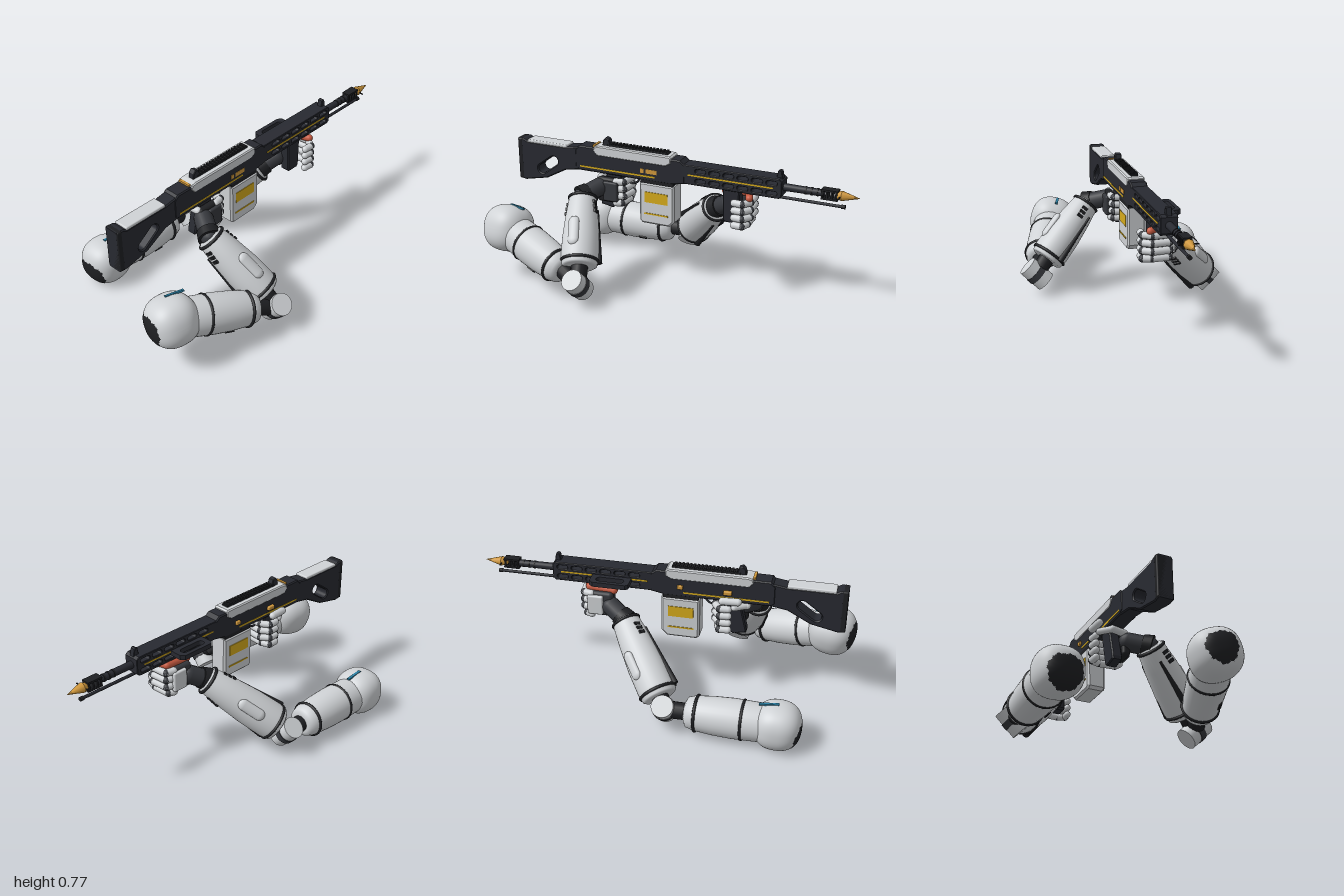
import * as THREE from 'three';
import { RoundedBoxGeometry } from 'three/addons/geometries/RoundedBoxGeometry.js';

const V = (x, y, z) => new THREE.Vector3(x, y, z);
const paint = (name, color) => new THREE.MeshStandardMaterial({ name, color });

export function createModel() {
  const light = paint('light armour', 0xd0d3d6), dark = paint('gunmetal', 0x282a31);
  const black = paint('black joint', 0x1f2023), grey = paint('grey joint', 0x36383d);
  const gold = paint('gold', 0xd0983c), yellow = paint('yellow', 0xd6ab1c);
  const red = paint('red', 0xc85a40), blue = paint('blue', 0x2a7fa3);

  const model = new THREE.Group();
  const add = (parent, name, geo, mat, x = 0, y = 0, z = 0) => {
    const m = new THREE.Mesh(geo, mat);
    m.name = name;
    m.position.set(x, y, z);
    parent.add(m);
    return m;
  };
  const box = (p, name, mat, w, h, d, x, y, z) => add(p, name, new THREE.BoxGeometry(w, h, d), mat, x, y, z);
  const round = (p, name, mat, w, h, d, x, y, z, r) =>
    add(p, name, new RoundedBoxGeometry(w, h, d, 3, r), mat, x, y, z);
  const barrel = (p, name, mat, r0, r1, z0, z1, y, n = 20) =>
    add(p, name, new THREE.CylinderGeometry(r1, r0, z0 - z1, n).rotateX(-Math.PI / 2), mat, 0, y, (z0 + z1) / 2);

  // Side outline in (z, y), extruded across x with a small bevel
  const stadium = (z0, y0, z1, y1, r) => {
    const a = Math.atan2(y1 - y0, z1 - z0), h = new THREE.Path();
    h.absarc(z1, y1, r, a - Math.PI / 2, a + Math.PI / 2);
    h.absarc(z0, y0, r, a + Math.PI / 2, a + Math.PI * 1.5);
    h.closePath();
    return h;
  };
  const slab = (p, name, mat, pts, width, holes = [], b = 0.006) => {
    const s = new THREE.Shape(pts.map(q => new THREE.Vector2(...q)));
    s.holes.push(...holes);
    const g = new THREE.ExtrudeGeometry(s, { depth: width - 2 * b, bevelSize: b, bevelOffset: -b,
      bevelThickness: b, bevelSegments: 1, curveSegments: 8 });
    return add(p, name, g.translate(0, 0, -(width - 2 * b) / 2).rotateY(-Math.PI / 2), mat);
  };

  // ---------- Rifle ----------
  const rifle = new THREE.Group();
  rifle.name = 'rifle';
  rifle.position.x = -0.015;
  model.add(rifle);
  slab(rifle, 'stock', dark, [[0.55, 0.575], [0.64, 0.56], [0.76, 0.495], [0.9, 0.465], [0.94, 0.47], [0.94, 0.705],
    [0.9, 0.705], [0.88, 0.693], [0.63, 0.693], [0.55, 0.705]], 0.085, [stadium(0.79, 0.545, 0.715, 0.6, 0.026)]);
  round(rifle, 'cheekRest', light, 0.08, 0.025, 0.25, 0, 0.692, 0.755, 0.006);
  round(rifle, 'buttPad', black, 0.088, 0.235, 0.03, 0, 0.588, 0.925, 0.008);
  slab(rifle, 'receiver', dark, [[-0.08, 0.59], [0, 0.575], [0.55, 0.575], [0.575, 0.59], [0.575, 0.69],
    [0.55, 0.715], [-0.05, 0.715], [-0.08, 0.69]], 0.09);
  slab(rifle, 'topCover', light, [[0, 0.69], [0.03, 0.672], [0.44, 0.672], [0.465, 0.7], [0.455, 0.722],
    [0.43, 0.728], [0.01, 0.728], [0, 0.72]], 0.096);
  box(rifle, 'coverTrim', gold, 0.07, 0.01, 0.014, 0, 0.722, 0.462);
  box(rifle, 'topRail', black, 0.04, 0.012, 0.36, 0, 0.731, 0.21);
  for (let i = 0; i < 17; i++) box(rifle, 'railTooth', black, 0.042, 0.009, 0.011, 0, 0.739, 0.045 + i * 0.02);
  slab(rifle, 'rearSight', dark, [[0.365, 0.72], [0.42, 0.72], [0.415, 0.755], [0.4, 0.772], [0.38, 0.765]], 0.036, [], 0.004);
  for (const s of [-1, 1]) {
    box(rifle, 'receiverStripe', yellow, 0.006, 0.009, 0.45, s * 0.0435, 0.6, 0.32);
    box(rifle, 'handguardStripe', yellow, 0.006, 0.008, 0.47, s * 0.0425, 0.645, -0.33);
  }
  box(rifle, 'ejectionPort', gold, 0.006, 0.024, 0.065, 0.0435, 0.628, 0.115);
  box(rifle, 'portLatch', gold, 0.006, 0.024, 0.02, 0.0435, 0.628, 0.17);
  round(rifle, 'selectorKnob', gold, 0.026, 0.024, 0.045, -0.048, 0.63, 0.33, 0.006);
  round(rifle, 'coverPin', gold, 0.02, 0.022, 0.03, -0.048, 0.632, 0.08, 0.005);

  // Handguard with two rows of through slots
  const slots = [];
  for (let i = 0; i < 6; i++) for (const y of [0.617, 0.671])
    slots.push(stadium(-0.185 - i * 0.078, y, -0.147 - i * 0.078, y, 0.01));
  slab(rifle, 'handguard', dark, [[-0.61, 0.605], [-0.595, 0.592], [-0.07, 0.592], [-0.07, 0.697],
    [-0.595, 0.697], [-0.61, 0.685]], 0.088, slots, 0.003);
  slab(rifle, 'frontSight', dark, [[-0.605, 0.69], [-0.57, 0.69], [-0.578, 0.73], [-0.59, 0.735], [-0.598, 0.73]], 0.03, [], 0.003);
  barrel(rifle, 'barrel', dark, 0.02, 0.018, -0.6, -0.82, 0.645);
  for (let i = 0; i < 4; i++) barrel(rifle, 'barrelRing', black, 0.021, 0.021, -0.72 - i * 0.03, -0.73 - i * 0.03, 0.645);
  for (let i = 0; i < 4; i++) box(rifle, 'brakeRib', black, 0.046, 0.05, 0.009, 0, 0.645, -0.813 - i * 0.024);
  for (const s of [-1, 1]) box(rifle, 'brakeBar', black, 0.046, 0.009, 0.085, 0, 0.645 + s * 0.022, -0.85);
  barrel(rifle, 'muzzleSpike', gold, 0.027, 0.001, -0.91, -1, 0.645, 8);
  barrel(rifle, 'spikeCollar', gold, 0.016, 0.027, -0.88, -0.91, 0.645, 8);
  box(rifle, 'muzzleCrossPin', black, 0.1, 0.005, 0.005, 0, 0.645, -0.905);
  barrel(rifle, 'lowerRod', dark, 0.008, 0.008, -0.48, -0.92, 0.588, 10);
  barrel(rifle, 'rodTip', black, 0.011, 0.011, -0.91, -0.93, 0.588, 10);

  // Looped side handle
  const loop = new THREE.Shape([[-0.13, 0.195], [-0.118, 0.18], [-0.04, 0.18], [-0.04, 0.39], [-0.112, 0.39], [-0.13, 0.37]]
    .map(q => new THREE.Vector2(...q)));
  loop.holes.push(stadium(-0.088, 0.23, -0.088, 0.34, 0.02));
  add(rifle, 'sideHandle', new THREE.ExtrudeGeometry(loop, { depth: 0.026, bevelEnabled: false })
    .rotateX(-Math.PI / 2), dark, 0, 0.625, 0);

  // Magazine, grips and trigger
  slab(rifle, 'magazine', light, [[0.185, 0.565], [0.185, 0.345], [0.17, 0.33], [0.01, 0.33], [-0.02, 0.36], [-0.02, 0.565]], 0.1, [], 0.01);
  box(rifle, 'magazineSeam', black, 0.088, 0.03, 0.19, 0, 0.567, 0.083);
  for (const s of [-1, 1]) {
    box(rifle, 'magazineLabel', yellow, 0.006, 0.06, 0.135, s * 0.05, 0.485, 0.085);
    box(rifle, 'magazineLine', yellow, 0.006, 0.008, 0.14, s * 0.05, 0.39, 0.085);
  }
  slab(rifle, 'pistolGrip', dark, [[0.3, 0.58], [0.34, 0.39], [0.36, 0.378], [0.43, 0.39], [0.43, 0.41], [0.39, 0.58]], 0.055);
  slab(rifle, 'foregrip', dark, [[-0.38, 0.6], [-0.375, 0.42], [-0.36, 0.408], [-0.3, 0.408], [-0.29, 0.42], [-0.285, 0.6]], 0.055);
  const guard = add(rifle, 'triggerGuard', new THREE.TorusGeometry(0.045, 0.006, 6, 16, Math.PI), dark, 0, 0.575, 0.25);
  guard.rotation.set(0, Math.PI / 2, Math.PI);
  box(rifle, 'trigger', gold, 0.012, 0.04, 0.01, 0, 0.56, 0.26);

  // ---------- Arms ----------
  // Group whose y axis runs from a to b and whose z axis leans towards hint
  const along = (parent, name, a, b, hint = V(0, 1, 0.01)) => {
    const g = new THREE.Group(), y = b.clone().sub(a).normalize();
    const x = y.clone().cross(hint).normalize(), z = x.clone().cross(y);
    g.quaternion.setFromRotationMatrix(new THREE.Matrix4().makeBasis(x, y, z));
    g.position.copy(a);
    g.name = name;
    parent.add(g);
    return g;
  };
  const shell = (p, name, mat, pts) => add(p, name, new THREE.LatheGeometry(pts.map(q => new THREE.Vector2(...q)), 32), mat);
  const ring = (p, r, y) => add(p, 'armBand', new THREE.TorusGeometry(r, 0.008, 8, 32).rotateX(Math.PI / 2), black, 0, y, 0);
  const capsule = (p, name, mat, a, b, r) => {
    const l = a.distanceTo(b), g = along(p, name, a, b, V(0.3, 0.5, 0.81));
    add(g, name, new THREE.CapsuleGeometry(r, l, 6, 14), mat, 0, l / 2, 0);
  };

  // Slightly squared ball; open > 0 makes a ragged cap around +y, tipped by tilt
  const squareBall = (r, open = 0, tilt = 0) => {
    const g = new THREE.SphereGeometry(1, 64, 32), p = g.attributes.position, v = V(0, 0, 0);
    for (let i = 0; i < p.count; i++) {
      v.fromBufferAttribute(p, i);
      if (open) {
        const f = Math.atan2(v.z, v.x), t = Math.acos(THREE.MathUtils.clamp(v.y, -1, 1)) / Math.PI *
          open * (1 + 0.05 * Math.sin(3 * f) + 0.04 * Math.sin(8 * f) + 0.04 * Math.sin(19 * f + 1));
        v.set(Math.sin(t) * Math.cos(f), Math.cos(t), Math.sin(t) * Math.sin(f)).applyAxisAngle(V(1, 0, 0), tilt);
      }
      const n = Math.pow(Math.abs(v.x) ** 2.4 + Math.abs(v.y) ** 2.4 + Math.abs(v.z) ** 2.4, 1 / 2.4);
      v.multiplyScalar(r / n);
      p.setXYZ(i, v.x, v.y, v.z);
    }
    g.computeVertexNormals();
    return g;
  };

  const arm = (name, o) => {
    const g = new THREE.Group();
    g.name = name;
    model.add(g);
    // Shoulder with ragged dark end and blue line
    const sh = along(g, 'shoulder', o.shoulder, o.shoulder.clone().add(o.capDir), o.lineDir);
    add(sh, 'shoulderBall', squareBall(o.r), light);
    add(sh, 'shoulderSocket', squareBall(o.r + 0.0015, o.capSize, o.capTilt), black);
    box(sh, 'shoulderLine', blue, 0.015, 0.1, 0.009, 0, -0.052, o.r - 0.006).rotation.x = 0.14;
    // Upper arm
    const u = along(g, 'upperArm', o.upperStart, o.shoulder), L = o.upperStart.distanceTo(o.shoulder);
    shell(u, 'upperArmShell', light, [[0, 0], [0.055, 0], [0.078, 0.012], [0.09, 0.05], [0.1, 0.15],
      [0.104, 0.25], [0.1, L - 0.08], [0.08, L]]);
    ring(u, 0.092, 0.06);
    ring(u, 0.1, L * 0.63);
    box(u, 'upperArmVent', black, 0.012, 0.045, 0.02, -0.071, 0.17, -0.071).rotation.y = -Math.PI / 4;
    // Elbow hinge
    const h = along(g, 'elbow', o.elbow, o.elbow.clone().add(o.hinge), V(0, 0, 1));
    add(h, 'elbowHinge', new THREE.CylinderGeometry(0.058, 0.058, 0.14, 32), light);
    add(h, 'elbowCore', new THREE.CylinderGeometry(0.062, 0.062, 0.035, 32), grey);
    capsule(g, 'upperElbowLink', black, o.elbow, o.upperStart, 0.045);
    capsule(g, 'lowerElbowLink', black, o.elbow, o.foreStart, 0.045);
    // Forearm with raised panel, ribs and seams that widen towards the elbow
    const f = along(g, 'forearm', o.foreStart, o.wrist, o.panelDir), F = o.foreStart.distanceTo(o.wrist);
    shell(f, 'forearmShell', light, [[0, 0], [0.082, 0], [0.093, 0.008], [0.1, 0.05], [0.098, F * 0.4],
      [0.087, F * 0.7], [0.072, F - 0.01], [0.06, F], [0, F]]);
    ring(f, 0.097, 0.03);
    ring(f, 0.073, F - 0.015);
    add(f, 'forearmPanel', new THREE.CapsuleGeometry(0.03, 0.1, 6, 16), light, 0, F * 0.42, 0.094).scale.z = 0.55;
    for (const s of [-1, 1]) {
      for (let i = 0; i < 3; i++)
        box(f, 'forearmRib', black, 0.014, 0.017, 0.034, s * (0.083 - i * 0.004), F * 0.74 + i * 0.026, 0.012);
      add(f, 'forearmSeam', new THREE.CylinderGeometry(0.006, 0.02, F * 0.75, 8), black,
        s * 0.082, F * 0.43, -0.042).rotation.z = s * 0.06;
    }
    // Wrist
    capsule(g, 'wrist', grey, o.wrist, o.palm, 0.05);
    const w = along(g, 'wristCuff', o.wrist, o.palm);
    add(w, 'wristCuff', new THREE.CylinderGeometry(0.056, 0.062, 0.05, 24), black, 0, 0.01, 0);
    return g;
  };

  // Hand gripping a vertical handle; s is the side of the palm
  const hand = (parent, name, c, s, palmMat, backMat) => {
    const g = new THREE.Group();
    g.name = name;
    g.position.copy(c);
    parent.add(g);
    round(g, 'palm', palmMat, 0.045, 0.14, 0.13, s * 0.055, 0.005, 0, 0.018);
    round(g, 'handBack', backMat, 0.025, 0.11, 0.085, s * 0.082, 0.005, -0.025, 0.009);
    for (let i = 0; i < 4; i++) {
      const y = 0.06 - i * 0.041, k = i === 3 ? 0.85 : 1;
      const path = [[0.065, -0.05], [0.055, -0.092 * k], [-0.035, -0.1 * k], [-0.08, -0.07], [-0.077, -0.025]]
        .map(q => V(s * q[0], y, q[1]));
      for (let j = 0; j < 4; j++) {
        capsule(g, 'fingerSegment', light, path[j], path[j + 1], 0.019);
        if (j) add(g, 'fingerJoint', new THREE.SphereGeometry(0.0198, 12, 8), grey, path[j].x, y, path[j].z);
      }
    }
  };

  const foreArm = arm('supportArm', {
    shoulder: V(-0.44, 0.123, 0.665), r: 0.122, capDir: V(0, -0.04, 1), lineDir: V(0, 1, 0), capSize: 0.74, capTilt: -0.34,
    upperStart: V(-0.43, 0.12, 0.19), elbow: V(-0.43, 0.12, 0.08), hinge: V(-0.7, 0.7, 0), foreStart: V(-0.39, 0.16, 0.05),
    wrist: V(-0.115, 0.432, -0.205), palm: V(-0.075, 0.48, -0.29), panelDir: V(-0.8, 0.3, -0.5) });
  hand(foreArm, 'supportHand', V(-0.015, 0.485, -0.345), -1, grey, light);
  capsule(foreArm, 'thumbBase', red, V(-0.05, 0.562, -0.28), V(-0.05, 0.572, -0.41), 0.021);
  capsule(foreArm, 'thumbTip', red, V(-0.05, 0.572, -0.41), V(0.03, 0.57, -0.44), 0.02);

  const trigArm = arm('triggerArm', {
    shoulder: V(0.283, 0.275, 0.862), r: 0.129, capDir: V(-0.24, -0.1, 1), lineDir: V(-0.3, 1, 0), capSize: 0.64, capTilt: 0,
    upperStart: V(0.435, 0.165, 0.435), elbow: V(0.475, 0.12, 0.33), hinge: V(0.7, 0.7, 0.1), foreStart: V(0.415, 0.195, 0.35),
    wrist: V(0.15, 0.48, 0.465), palm: V(0.055, 0.51, 0.41), panelDir: V(0.8, 0.6, 0) });
  hand(trigArm, 'triggerHand', V(-0.015, 0.49, 0.365), 1, black, grey);
  capsule(trigArm, 'thumbBase', light, V(0.03, 0.55, 0.42), V(-0.04, 0.555, 0.43), 0.02);
  capsule(trigArm, 'thumbTip', light, V(-0.04, 0.555, 0.43), V(-0.085, 0.56, 0.37), 0.018);
  capsule(trigArm, 'indexFinger', light, V(-0.095, 0.6, 0.39), V(-0.1, 0.6, 0.31), 0.02);

  return model;
}
